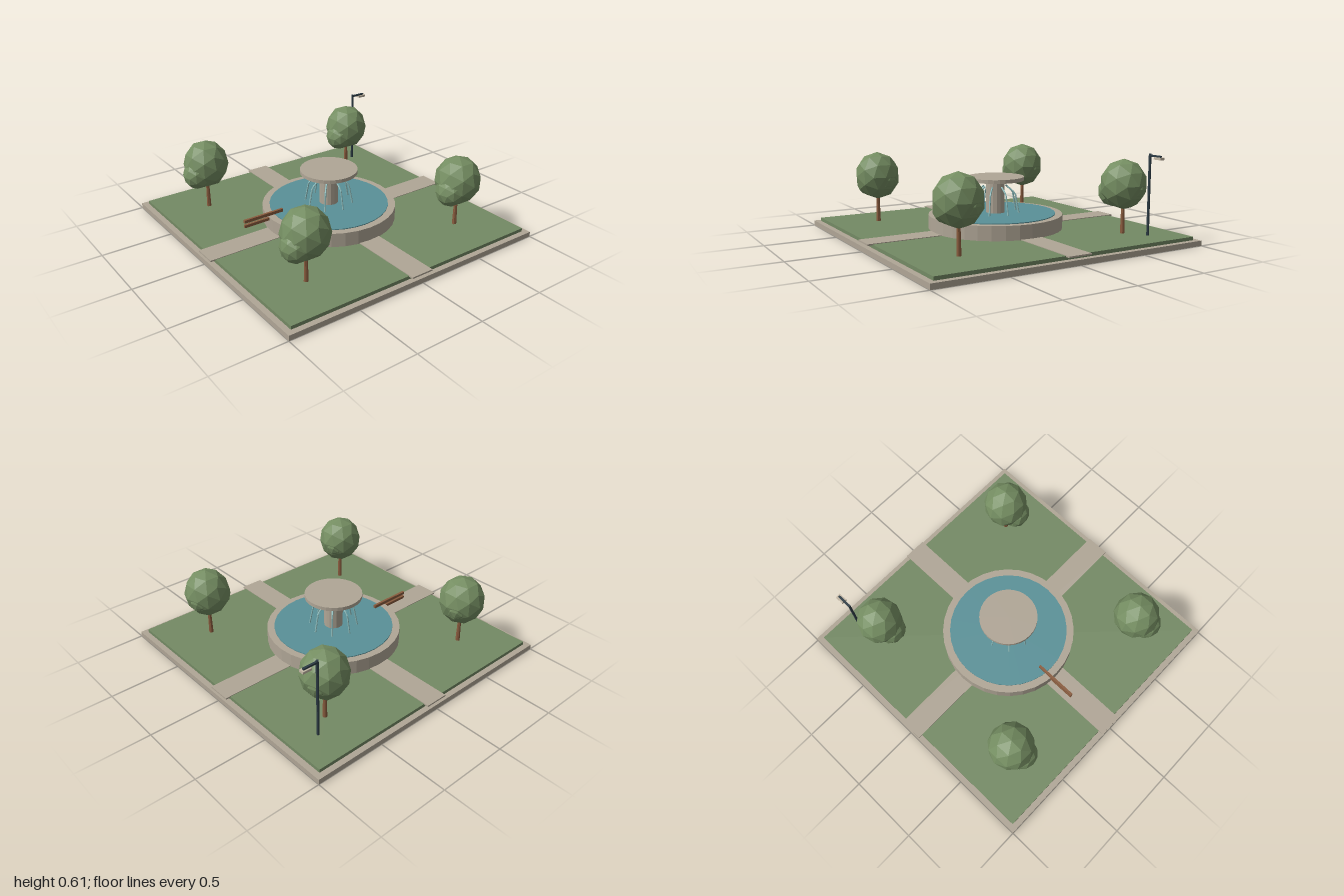
import * as THREE from 'three';

const mat = (name, color, flatShading = true) => {
  const m = new THREE.MeshStandardMaterial({ color, flatShading });
  m.name = name;
  return m;
};

export function createModel() {
  const stone = mat('stone', 0xb0a696);
  const grass = mat('grass', 0x748a64);
  const water = mat('water', 0x5a9198);
  const spray = mat('spray', 0x8dbcbc);
  const leaf = mat('foliage', 0x758e62);
  const wood = mat('wood', 0x8a5c3e);
  const iron = mat('iron', 0x2c3b44);
  const lampShade = mat('lampShade', 0xc4b9a6);

  const park = new THREE.Group();
  park.name = 'parkSquare';

  const add = (parent, name, geometry, material, x = 0, y = 0, z = 0) => {
    const mesh = new THREE.Mesh(geometry, material);
    mesh.name = name;
    mesh.position.set(x, y, z);
    parent.add(mesh);
    return mesh;
  };
  const group = (name, x = 0, y = 0, z = 0) => {
    const g = new THREE.Group();
    g.name = name;
    g.position.set(x, y, z);
    park.add(g);
    return g;
  };
  // boxes and cylinders given by their bottom and top heights
  const box = (parent, name, w, d, y0, y1, m, x = 0, z = 0) =>
    add(parent, name, new THREE.BoxGeometry(w, y1 - y0, d), m, x, (y0 + y1) / 2, z);
  const cyl = (parent, name, rTop, rBottom, y0, y1, sides, m, x = 0, z = 0) =>
    add(parent, name, new THREE.CylinderGeometry(rTop, rBottom, y1 - y0, sides), m, x, (y0 + y1) / 2, z);

  // ground: slab, lawn and crossing paths
  box(park, 'slab', 2, 2, 0, 0.036, stone);
  box(park, 'lawn', 1.92, 1.92, 0.036, 0.06, grass);
  box(park, 'pathAcross', 1.99, 0.165, 0.054, 0.064, stone);
  box(park, 'pathAlong', 0.165, 1.985, 0.054, 0.0645, stone);

  // fountain
  const fountain = group('fountain');
  cyl(fountain, 'basin', 0.473, 0.473, 0.055, 0.16, 32, stone);
  cyl(fountain, 'basinWater', 0.422, 0.422, 0.157, 0.166, 32, water);
  cyl(fountain, 'column', 0.066, 0.066, 0.16, 0.4, 16, stone);
  cyl(fountain, 'upperBowl', 0.202, 0.202, 0.395, 0.421, 32, stone);

  // water jets: three-point arcs around the column
  const jetPath = new THREE.CurvePath();
  const jetPoints = [[0.085, 0.353], [0.142, 0.308], [0.17, 0.163]]
    .map(([r, y]) => new THREE.Vector3(r, y, 0));
  for (let i = 0; i < 2; i++) jetPath.add(new THREE.LineCurve3(jetPoints[i], jetPoints[i + 1]));
  const jetGeometry = new THREE.TubeGeometry(jetPath, 8, 0.006, 6, false);
  spray.side = THREE.DoubleSide;
  for (let i = 0; i < 8; i++) {
    add(fountain, 'waterJet', jetGeometry, spray).rotation.y = (i * Math.PI) / 4;
  }

  // trees: tapered trunk with a main crown and smaller side clumps
  const clump = new THREE.IcosahedronGeometry(1, 1);
  for (const x of [-0.63, 0.63]) {
    for (const z of [-0.63, 0.63]) {
      const tree = group('tree', x, 0, z);
      cyl(tree, 'trunk', 0.011, 0.017, 0.002, 0.28, 7, wood);
      add(tree, 'crown', clump, leaf, 0, 0.398, 0).scale.set(0.16, 0.172, 0.16);
      add(tree, 'sideClump', clump, leaf, -0.085, 0.342, 0.02).scale.set(0.098, 0.106, 0.105);
      add(tree, 'smallClump', clump, leaf, 0.068, 0.375, -0.03).scale.set(0.086, 0.09, 0.086);
    }
  }

  // bench slats
  const bench = group('bench', -0.51, 0, -0.053);
  box(bench, 'upperSlat', 0.305, 0.017, 0.172, 0.194, wood);
  box(bench, 'lowerSlat', 0.305, 0.017, 0.138, 0.158, wood);

  // street lamp
  const lamp = group('streetLamp', 0.772, 0, -0.73);
  cyl(lamp, 'pole', 0.009, 0.009, 0.002, 0.61, 8, iron);
  box(lamp, 'arm', 0.11, 0.015, 0.593, 0.605, iron, 0.05);
  box(lamp, 'lampHead', 0.063, 0.036, 0.578, 0.594, lampShade, 0.086);

  return park;
}
